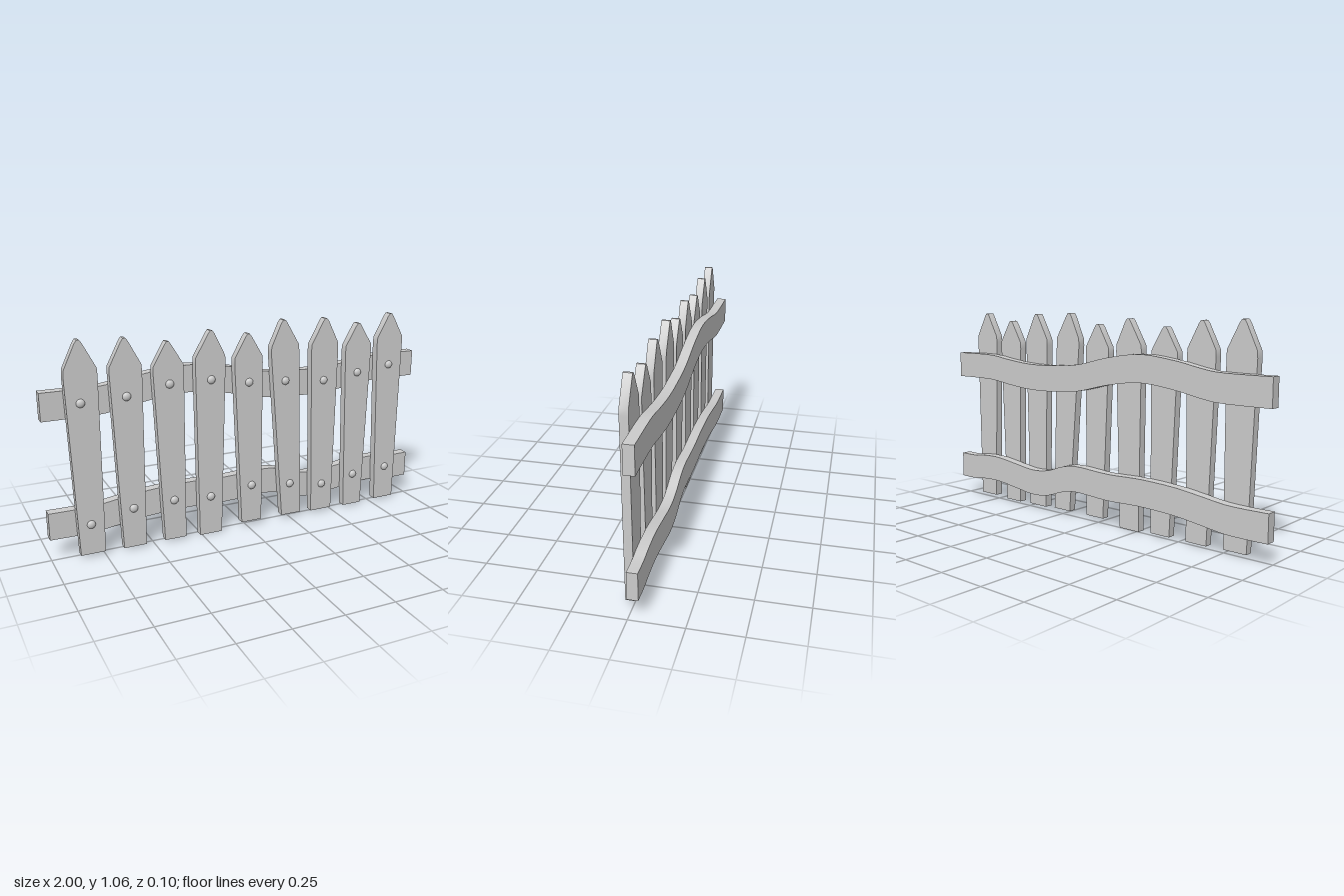
import * as THREE from 'three';
import { toCreasedNormals } from 'three/addons/utils/BufferGeometryUtils.js';

const material = new THREE.MeshStandardMaterial({ color: 0xcccccc });
const V = (x, y) => new THREE.Vector2(x, y);

// Flat outline extruded from z0 towards +z
function board(name, points, z0, depth) {
  const geometry = new THREE.ExtrudeGeometry(new THREE.Shape(points), { depth, bevelEnabled: false });
  geometry.translate(0, 0, z0);
  const mesh = new THREE.Mesh(toCreasedNormals(geometry, 0.5), material);
  mesh.name = name;
  return mesh;
}

// Wavy rail: a smooth centre line, thickened up and down
function rail(name, line) {
  const curve = new THREE.SplineCurve(line.map(([x, y]) => V(x, y)));
  const centre = curve.getPoints(48);
  const half = 0.067;
  const lower = centre.map((p) => V(p.x, p.y - half));
  const upper = centre.map((p) => V(p.x, p.y + half)).reverse();
  return board(name, [...lower, ...upper], -0.05, 0.05);
}

// Picket: tapered, leaning board with a slightly blunted point
function picket([tipX, tipY, left, right, shoulderY, footL, footR, footY]) {
  return board('picket', [
    V(footL, footY), V(footR, footY),
    V(right, shoulderY - 0.025), V(right - 0.002, shoulderY + 0.008),
    V(tipX + 0.017, tipY - 0.015), V(tipX + 0.006, tipY),
    V(tipX - 0.006, tipY), V(tipX - 0.017, tipY - 0.015),
    V(left + 0.002, shoulderY + 0.008), V(left, shoulderY - 0.025),
  ], 0, 0.04);
}

// tip x, tip y, shoulder left, shoulder right, shoulder y, foot left, foot right, foot y
const pickets = [
  [-0.82, 1.05, -0.895, -0.74, 0.91, -0.867, -0.747, 0.015],
  [-0.61, 1.04, -0.687, -0.532, 0.905, -0.655, -0.542, 0.01],
  [-0.405, 1.005, -0.48, -0.328, 0.885, -0.445, -0.335, 0.01],
  [-0.187, 1.037, -0.27, -0.115, 0.905, -0.26, -0.142, 0],
  [0.007, 1.005, -0.067, 0.083, 0.885, -0.03, 0.08, 0.025],
  [0.2, 1.056, 0.13, 0.285, 0.92, 0.2, 0.31, 0.022],
  [0.435, 1.045, 0.355, 0.51, 0.91, 0.375, 0.495, 0.015],
  [0.63, 1.005, 0.555, 0.708, 0.885, 0.575, 0.682, 0.01],
  [0.822, 1.04, 0.745, 0.9, 0.91, 0.773, 0.89, 0.015],
];

// Nail positions on the upper and lower rail
const nails = [
  [-0.825, 0.762], [-0.61, 0.768], [-0.4, 0.803], [-0.19, 0.8], [0.01, 0.765],
  [0.21, 0.75], [0.43, 0.728], [0.63, 0.748], [0.822, 0.77],
  [-0.81, 0.166], [-0.6, 0.21], [-0.393, 0.215], [-0.2, 0.2], [0.025, 0.222],
  [0.245, 0.194], [0.435, 0.16], [0.628, 0.183], [0.832, 0.194],
];

export function createModel() {
  const fence = new THREE.Group();
  fence.name = 'picketFence';

  fence.add(rail('upperRail', [
    [-1, 0.752], [-0.76, 0.752], [-0.65, 0.763], [-0.5, 0.79], [-0.3, 0.808], [-0.1, 0.782],
    [0.1, 0.736], [0.3, 0.72], [0.45, 0.72], [0.6, 0.734], [0.75, 0.752], [1, 0.752],
  ]));
  fence.add(rail('lowerRail', [
    [-1, 0.171], [-0.8, 0.171], [-0.65, 0.189], [-0.5, 0.206], [-0.3, 0.213], [-0.1, 0.207],
    [0.1, 0.216], [0.2, 0.202], [0.32, 0.163], [0.43, 0.153], [0.55, 0.167], [0.7, 0.184],
    [0.82, 0.181], [0.9, 0.171], [1, 0.171],
  ]));

  for (const data of pickets) fence.add(picket(data));

  // Domed nail heads facing the front
  const dome = new THREE.SphereGeometry(0.021, 16, 6, 0, Math.PI * 2, 0, Math.PI / 2);
  dome.rotateX(Math.PI / 2).scale(1, 1, 0.7);
  for (const [x, y] of nails) {
    const nail = new THREE.Mesh(dome, material);
    nail.name = 'nailHead';
    nail.position.set(x, y, 0.039);
    fence.add(nail);
  }
  return fence;
}
